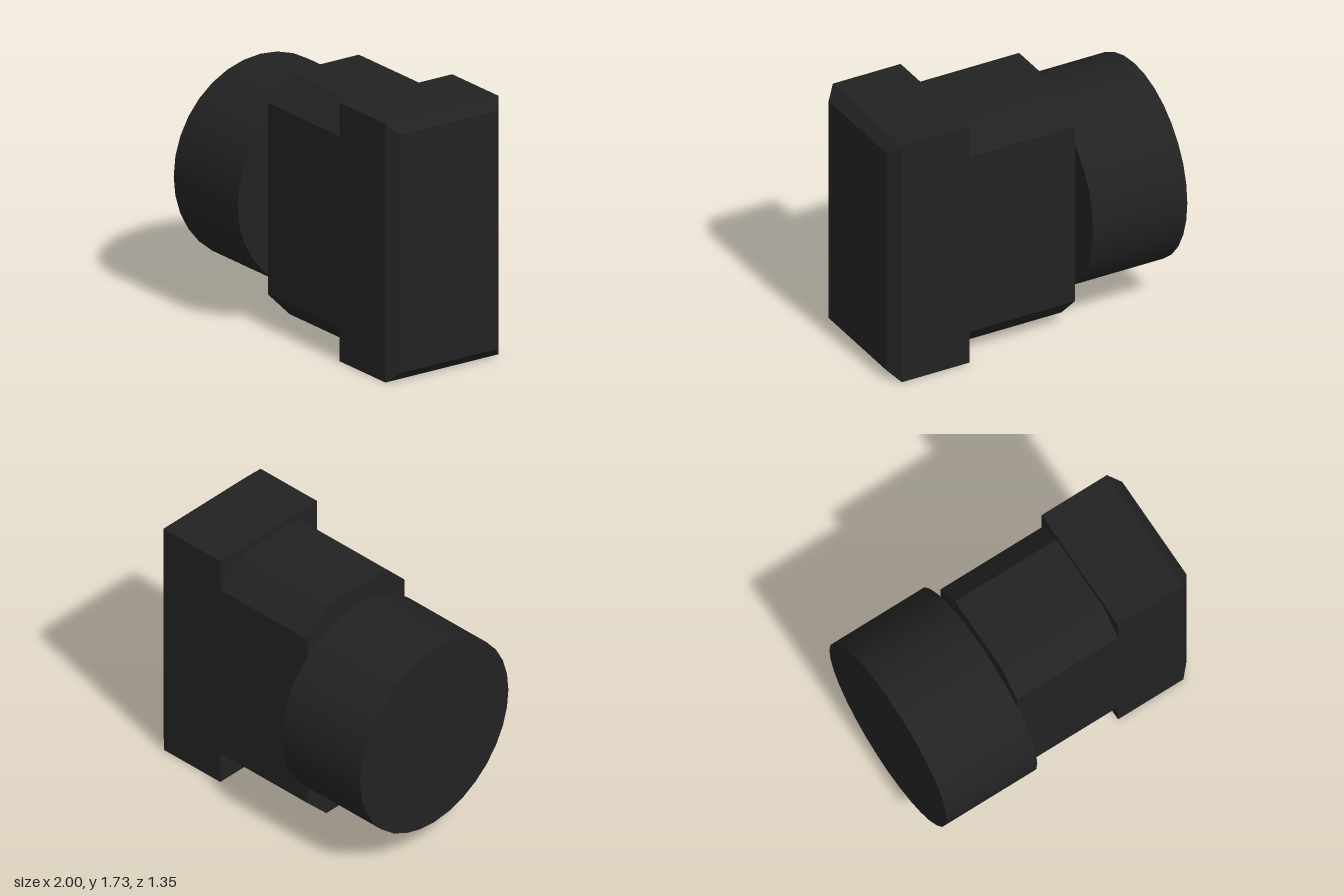
import * as THREE from 'three';

const MID_Y = 0.865; // height of the shared axis along x
const HALF_Z = 0.44; // half depth of the body and the end block

// Block from x0 to x1 whose +x end is bevelled on all four edges
function bevelledBlock(x0, x1, halfY, halfZ, bevel) {
  const geo = new THREE.BoxGeometry(2, halfY * 2, halfZ * 2, 2, 1, 1);
  const p = geo.attributes.position;
  for (let i = 0; i < p.count; i++) {
    const x = p.getX(i);
    if (x > 0.5) {
      p.setXYZ(i, x1,
        Math.sign(p.getY(i)) * (halfY - bevel),
        Math.sign(p.getZ(i)) * (halfZ - bevel));
    } else {
      p.setX(i, x < -0.5 ? x0 : x1 - bevel);
    }
  }
  const flat = geo.toNonIndexed();
  flat.computeVertexNormals();
  return flat;
}

// Block from x0 to x1 with its four long edges cut off
function chamferedBlock(x0, x1, halfY, halfZ, cut) {
  const corners = [
    [halfZ, halfY - cut], [halfZ - cut, halfY],
    [cut - halfZ, halfY], [-halfZ, halfY - cut],
    [-halfZ, cut - halfY], [cut - halfZ, -halfY],
    [halfZ - cut, -halfY], [halfZ, cut - halfY],
  ].map(([z, y]) => new THREE.Vector2(z, y));
  const geo = new THREE.ExtrudeGeometry(new THREE.Shape(corners), {
    depth: x1 - x0, bevelEnabled: false,
  });
  return geo.rotateY(Math.PI / 2).translate(x0, 0, 0);
}

export function createModel() {
  const model = new THREE.Group();
  model.name = 'model';
  const smooth = new THREE.MeshStandardMaterial({ color: 0x222222 });
  const faceted = new THREE.MeshStandardMaterial({ color: 0x222222, flatShading: true });

  const add = (name, geometry, material) => {
    const mesh = new THREE.Mesh(geometry, material);
    mesh.name = name;
    mesh.position.y = MID_Y;
    model.add(mesh);
  };

  // Round barrel lying along x
  const barrel = new THREE.CylinderGeometry(0.675, 0.675, 0.68, 32)
    .rotateZ(Math.PI / 2).translate(-0.66, 0, 0);
  add('barrel', barrel, smooth);

  // Middle body with chamfered long edges
  add('body', chamferedBlock(-0.32, 0.44, 0.81, HALF_Z, 0.17), faceted);

  // Taller end block with a bevelled outer face
  add('endBlock', bevelledBlock(0.44, 1, MID_Y, HALF_Z, 0.07), faceted);

  return model;
}
